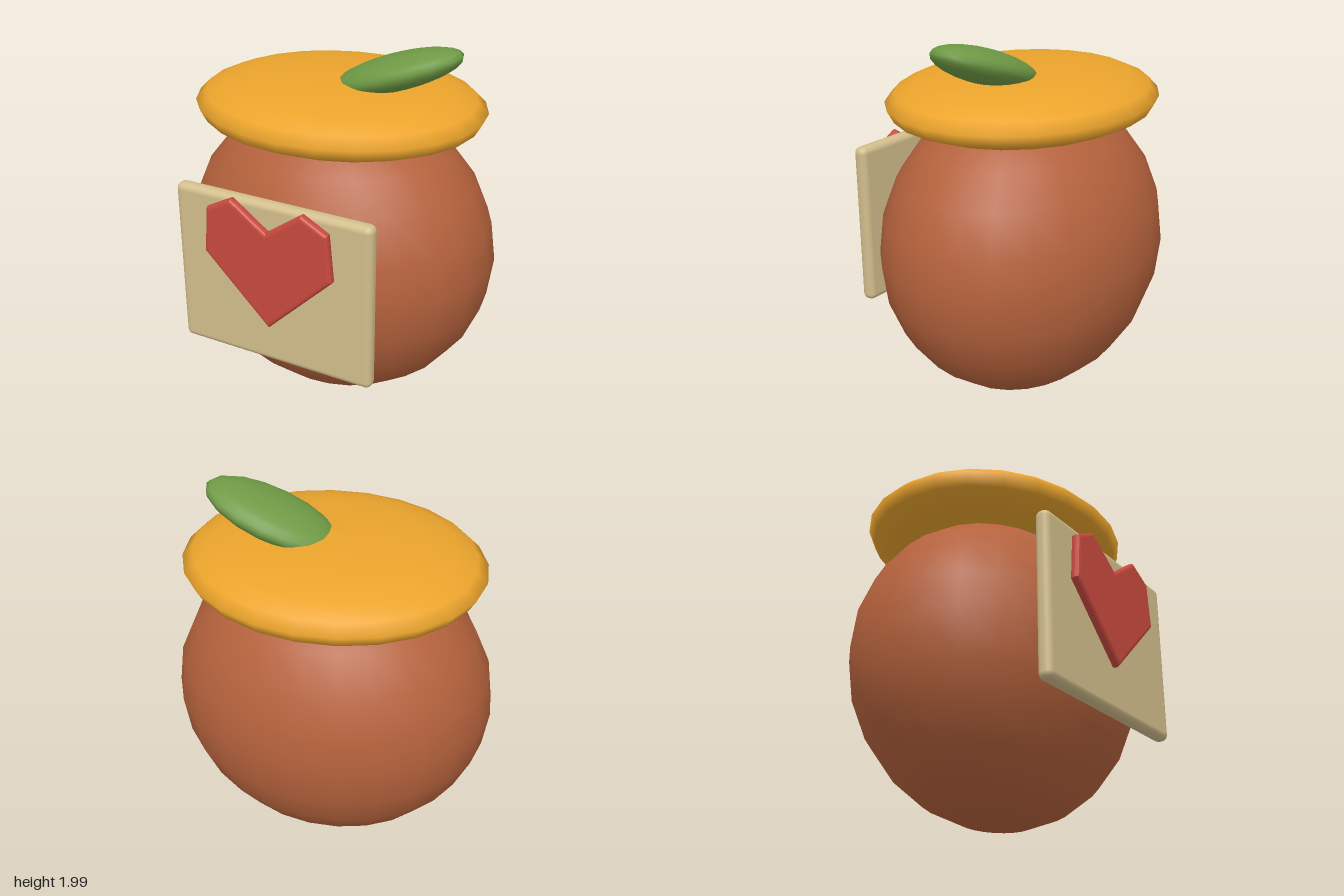
import * as THREE from 'three';
import { RoundedBoxGeometry } from 'three/addons/geometries/RoundedBoxGeometry.js';

const CENTER_Z = -0.035;

function addPart(group, name, geometry, color, position) {
  const mesh = new THREE.Mesh(geometry, new THREE.MeshStandardMaterial({ color }));
  mesh.name = name;
  mesh.position.set(...position);
  group.add(mesh);
  return mesh;
}

export function createModel() {
  const model = new THREE.Group();
  model.name = 'jar';

  // Round body, slightly flattened front to back
  const body = addPart(model, 'body', new THREE.SphereGeometry(1, 24, 12), 0xb5623c, [0, 0.838, CENTER_Z]);
  body.scale.set(0.86, 0.83, 0.7);

  // Wide oval lid with a rounded rim and a shallow dome
  const profile = [
    [0, 1.54], [0.32, 1.53], [0.47, 1.52], [0.63, 1.54], [0.74, 1.585], [0.775, 1.647],
    [0.72, 1.7], [0.62, 1.742], [0.47, 1.773], [0.25, 1.791], [0, 1.8],
  ].map(([x, y]) => new THREE.Vector2(x, y));
  const lid = addPart(model, 'lid', new THREE.LatheGeometry(profile, 24), 0xeba42c, [0, 0, CENTER_Z]);
  lid.scale.z = 0.855;

  // Leaf tilted up toward the left
  const leaf = addPart(model, 'leaf', new THREE.SphereGeometry(1, 16, 12), 0x6f9a45, [0.317, 1.85, CENTER_Z]);
  leaf.scale.set(0.365, 0.09, 0.2);
  leaf.rotation.z = 0.35;

  // Rounded label plate on the front
  addPart(model, 'label', new RoundedBoxGeometry(1.09, 0.89, 0.08, 3, 0.035), 0xd2be8c, [0, 0.91, 0.65]);

  // Angular heart with bevelled edges
  const half = [[0.195, 1.36], [0.335, 1.285], [0.357, 1.04]];
  const outline = [
    [0, 1.22], ...half.map(([x, y]) => [-x, y]), [0, 0.69], ...half.slice().reverse(),
  ].map(([x, y]) => new THREE.Vector2(x, y));
  const heart = new THREE.ExtrudeGeometry(new THREE.Shape(outline), {
    depth: 0.01, bevelThickness: 0.02, bevelSize: 0.02, bevelOffset: -0.02, bevelSegments: 3,
  });
  addPart(model, 'heart', heart, 0xc8493e, [0, 0, 0.705]);

  return model;
}
